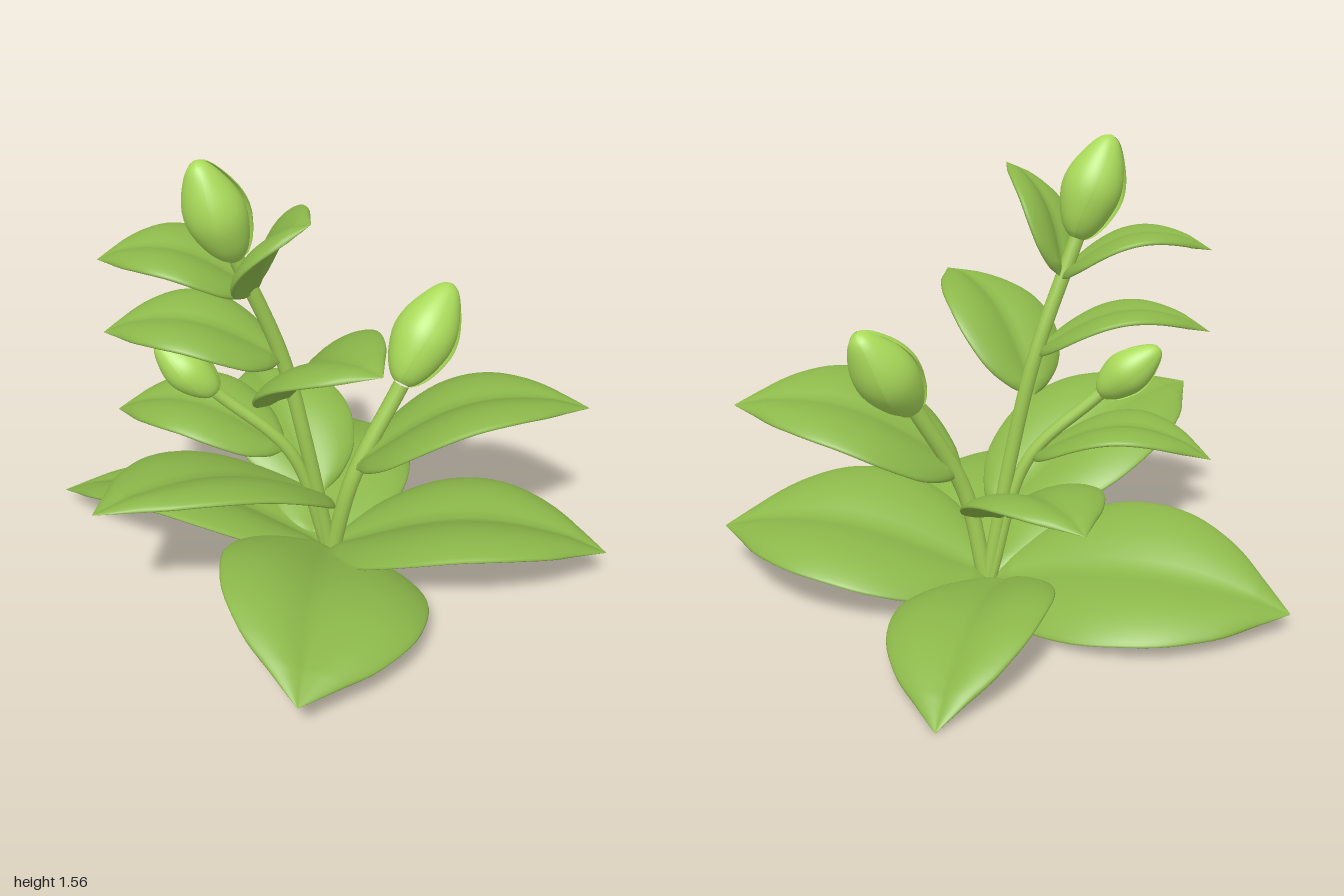
import * as THREE from 'three';
import { ParametricGeometry } from 'three/addons/geometries/ParametricGeometry.js';

const V = (p) => new THREE.Vector3(...p);

// Half-width outline of a leaf: rounded base, broad middle, pointed tip
const outline = new THREE.CatmullRomCurve3([
  [0, 0.05, 0], [0.06, 0.42, 0], [0.2, 0.82, 0], [0.4, 1, 0], [0.6, 0.94, 0],
  [0.78, 0.67, 0], [0.91, 0.29, 0], [1, 0.005, 0],
].map(V));

// Thick, arched leaf from base to tip; roll (degrees) lifts its right edge
function leafGeometry(base, tip, width, arch, roll) {
  const b = V(base), t = V(tip);
  const d = t.clone().sub(b).normalize();
  const s = d.clone().cross(new THREE.Vector3(0, 1, 0)).normalize();
  s.applyAxisAngle(d, -THREE.MathUtils.degToRad(roll));
  const n = s.clone().cross(d);
  const half = width / 2, thick = 0.016;
  return new ParametricGeometry((u, v, target) => {
    const a = -2 * Math.PI * u;
    const o = outline.getPoint(v);
    const across = Math.cos(a), w = o.y * half;
    const body = Math.min(1, o.y * 2.5);
    let h = thick * body * Math.sign(Math.sin(a)) * Math.pow(Math.abs(Math.sin(a)), 0.6);
    // each half swells up from the midrib and curls down at the rim
    h += w * (0.5 * (Math.hypot(across, 0.08) - 0.08) - 0.42 * across * across);
    h += arch * Math.sin(Math.PI * Math.pow(o.x, 1.1));
    target.copy(b).lerp(t, o.x).addScaledVector(s, across * w).addScaledVector(n, h);
  }, 44, 32);
}

// Bud of overlapping sepals, standing on y = 0, height 1
const SEPALS = 4;
const budProfile = new THREE.SplineCurve([
  [0.08, 0], [0.15, 0.06], [0.23, 0.2], [0.29, 0.42], [0.27, 0.62],
  [0.18, 0.83], [0.09, 0.96], [0.001, 1],
].map((p) => new THREE.Vector2(...p))).getPoints(22);

function sepalGeometry(i) {
  const step = (2 * Math.PI) / SEPALS;
  const g = new THREE.LatheGeometry(budProfile, 16, i * step, step + 0.35);
  const p = g.attributes.position, cols = budProfile.length;
  for (let k = 0; k < p.count; k++) {
    const f = Math.floor(k / cols) / 16;
    const r = 1.05 - 0.16 * f; // each sepal tucks under the next
    const twist = 0.5 * p.getY(k);
    const x = p.getX(k) * r, z = p.getZ(k) * r;
    p.setXYZ(k, x * Math.cos(twist) + z * Math.sin(twist), p.getY(k),
      z * Math.cos(twist) - x * Math.sin(twist));
  }
  g.computeVertexNormals();
  return g;
}

export function createModel() {
  const plant = new THREE.Group();
  plant.name = 'buddingPlant';
  const leafGreen = new THREE.MeshStandardMaterial({ color: 0x8cb84a });
  leafGreen.name = 'leaf green';
  const budGreen = new THREE.MeshStandardMaterial({ color: 0xaadb5a, side: THREE.DoubleSide });
  budGreen.name = 'bud green';
  const stemGreen = new THREE.MeshStandardMaterial({ color: 0x9fcb54 });
  stemGreen.name = 'stem green';

  const add = (parent, name, geometry, material) => {
    const mesh = new THREE.Mesh(geometry, material);
    mesh.name = name;
    parent.add(mesh);
  };

  // Leaves: name, base, tip, width, arch, roll
  const leaves = [
    ['groundLeafRight', [0.02, 0.04, 0], [-1, 0.07, 0.01], 0.68, 0.1, -19],
    ['groundLeafFront', [0.04, 0.04, 0], [0.23, 0.155, 0.9], 0.7, 0.1, 13],
    ['groundLeafBack', [-0.03, 0.04, 0], [-0.11, 0.005, -0.9], 0.52, 0.11, -10],
    ['groundLeafLeft', [0.03, 0.04, 0.01], [0.99, 0.155, -0.13], 0.7, 0.11, 11],
    ['lowerLeafFront', [0.03, 0.27, 0.03], [-0.48, 0.58, 0.74], 0.56, 0.09, -11],
    ['lowerLeafLeft', [0.14, 0.42, 0.02], [0.87, 0.66, -0.22], 0.55, 0.11, 11],
    ['lowerLeafBack', [0.01, 0.28, 0], [-0.42, 0.46, -0.43], 0.45, 0.08, 3],
    ['sideStemLeaf', [-0.1, 0.48, 0.07], [-0.7, 0.54, 0.1], 0.38, 0.1, 3],
    ['middleLeafRight', [-0.1, 0.84, 0.1], [-0.65, 0.93, 0.25], 0.38, 0.09, 5],
    ['middleLeafLeft', [-0.09, 0.7, 0.09], [0.33, 1.03, 0.41], 0.43, 0.08, -11],
    ['upperLeafRight', [-0.17, 1.1, 0.14], [-0.64, 1.2, 0.27], 0.35, 0.08, 4],
    ['upperLeafLeft', [-0.17, 1.11, 0.13], [0.08, 1.44, 0.32], 0.33, 0.05, -29],
  ];
  for (const [name, ...spec] of leaves) add(plant, name, leafGeometry(...spec), leafGreen);

  // Stems, each carrying a bud: name, path, radius, bud tip, bud girth
  const shoots = [
    ['mainShoot', [[0.04, 0.04, 0], [-0.03, 0.5, 0.05], [-0.1, 0.84, 0.08], [-0.21, 1.23, 0.18]],
      0.025, [-0.3, 1.56, 0.25], 0.34],
    ['leftShoot', [[0.05, 0.04, 0], [0.12, 0.36, -0.01], [0.25, 0.69, -0.13]],
      0.028, [0.36, 0.99, -0.33], 0.37],
    ['rightShoot', [[0.03, 0.04, 0], [-0.08, 0.47, 0.07], [-0.31, 0.71, 0.15]],
      0.021, [-0.5, 0.88, 0.18], 0.26],
  ];
  for (const [name, path, radius, tip, girth] of shoots) {
    const shoot = new THREE.Group();
    shoot.name = name;
    plant.add(shoot);
    const curve = new THREE.CatmullRomCurve3(path.map(V));
    add(shoot, 'stem', new THREE.TubeGeometry(curve, 32, radius, 12), stemGreen);

    const foot = V(path[path.length - 1]);
    const axis = V(tip).sub(foot);
    const bud = new THREE.Group();
    bud.name = 'bud';
    bud.position.copy(foot);
    bud.quaternion.setFromUnitVectors(new THREE.Vector3(0, 1, 0), axis.clone().normalize());
    bud.scale.set(girth, axis.length(), girth);
    for (let i = 0; i < SEPALS; i++) add(bud, 'sepal', sepalGeometry(i), budGreen);
    shoot.add(bud);
  }
  return plant;
}
